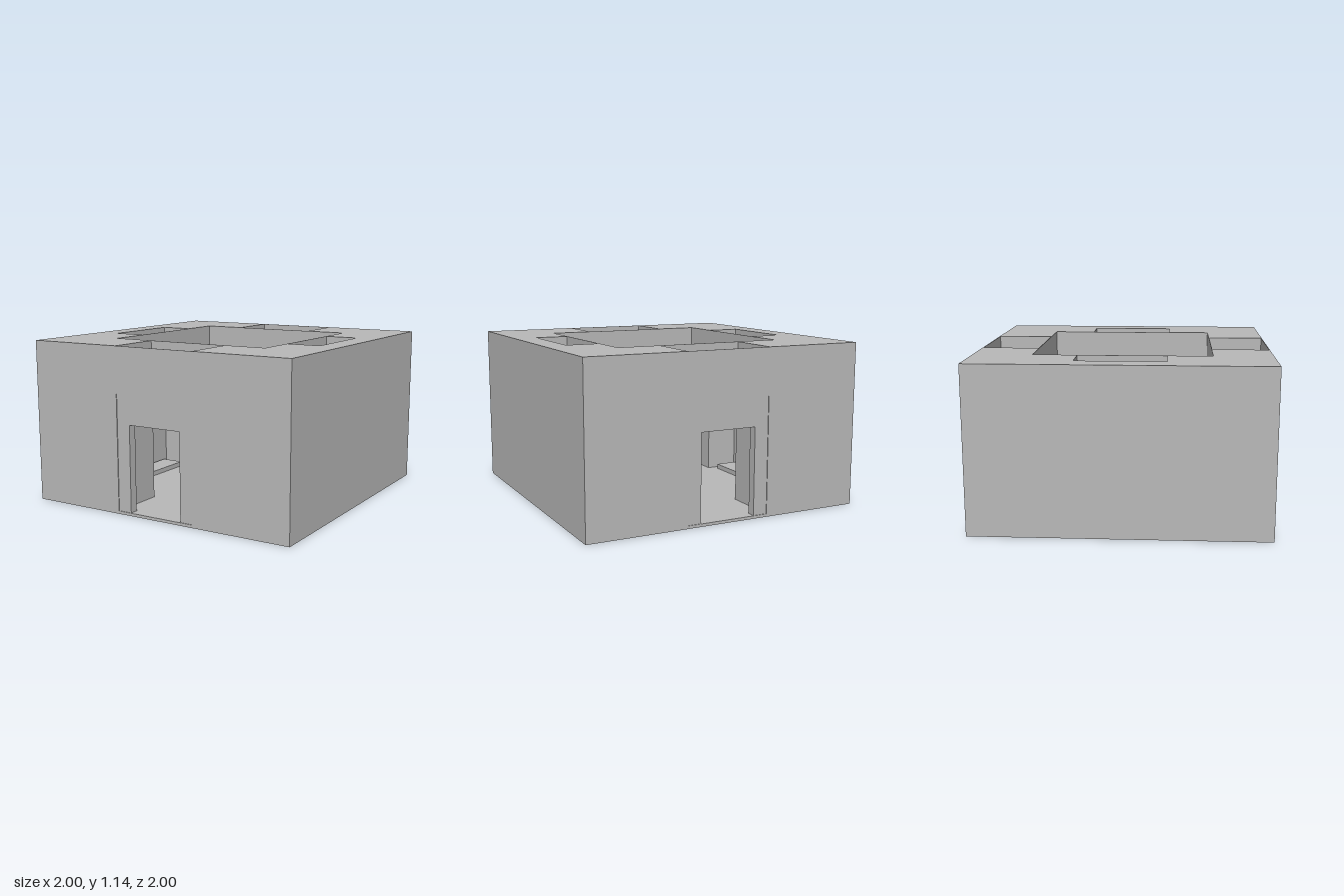
import * as THREE from 'three';

const stone = new THREE.MeshStandardMaterial({ color: 0xb8b8b8 });
stone.name = 'grey stone';

const FLOOR = 0.02, NICHE = 0.6, PASSAGE = 0.82, CEILING = 0.94, TOP = 1.14;

function add(parent, name, geometry, x = 0, y = 0, z = 0) {
  const mesh = new THREE.Mesh(geometry, stone);
  mesh.name = name;
  mesh.position.set(x, y, z);
  parent.add(mesh);
  return mesh;
}

function outline(points, holes = []) {
  const toVectors = (list) => list.map(([x, y]) => new THREE.Vector2(x, y));
  const shape = new THREE.Shape(toVectors(points));
  shape.holes = holes.map((hole) => new THREE.Path(toVectors(hole)));
  return shape;
}

const rect = (x0, z0, x1, z1) => [[x0, z0], [x1, z0], [x1, z1], [x0, z1]];

// Raise a floor plan from y0 to y1
function raise(shape, y0, y1) {
  const g = new THREE.ExtrudeGeometry(shape, { depth: y1 - y0, bevelEnabled: false });
  return g.rotateX(-Math.PI / 2).translate(0, y0, 0);
}

// A rod between two points
function rod(parent, name, from, to, radius) {
  const a = new THREE.Vector3(...from), b = new THREE.Vector3(...to);
  const mesh = add(parent, name, new THREE.CylinderGeometry(radius, radius, a.distanceTo(b), 8));
  mesh.position.copy(a).add(b).multiplyScalar(0.5);
  mesh.quaternion.setFromUnitVectors(new THREE.Vector3(0, 1, 0), b.sub(a).normalize());
}

function buildRock(group) {
  add(group, 'floor', new THREE.BoxGeometry(2, FLOOR, 2), 0, FLOOR / 2, 0);

  const nicheSlot = rect(0.605, -0.3, 0.84, 0.3);
  const start = [[0.3, -1], [1, -1], [1, 1], [0.3, 1], [0.3, 0.6], [0.6, 0.6]];
  const end = [[0.6, -0.6], [0.3, -0.6]];
  const nicheEdge = [[0.6, 0.3], [0.84, 0.3], [0.84, -0.3], [0.6, -0.3]];

  // Two matching side halves, each with a sleeping niche
  for (const turn of [0, Math.PI]) {
    const side = new THREE.Group();
    side.name = turn ? 'rightHalf' : 'leftHalf';
    side.rotation.y = turn;
    group.add(side);
    add(side, 'lowerWall', raise(outline([...start, ...nicheEdge, ...end]), FLOOR, NICHE));
    add(side, 'upperWall', raise(outline([...start, ...end], [nicheSlot]), NICHE, PASSAGE));
    add(side, 'nicheCeiling', new THREE.BoxGeometry(0.24, 0.01, 0.6), 0.72, NICHE, 0);
    add(side, 'bed', new THREE.BoxGeometry(0.17, 0.035, 0.5), 0.74, FLOOR + 0.0175, 0);
  }

  // Top block, with a well over every chamber
  const wells = [
    rect(-0.6, -0.6, 0.6, 0.6),
    nicheSlot, rect(-0.84, -0.3, -0.605, 0.3),
    rect(-0.3, 0.605, 0.3, 0.995), rect(-0.3, -0.995, 0.3, -0.605),
  ];
  add(group, 'topBlock', raise(outline(rect(-1, -1, 1, 1), wells), PASSAGE, TOP));
  add(group, 'roomCeiling', new THREE.BoxGeometry(1.2, 0.01, 1.2), 0, CEILING - 0.005, 0);
}

function buildDoorways(group) {
  const frame = outline([
    [-0.3, FLOOR], [-0.2, FLOOR], [-0.2, 0.62], [0.2, 0.62],
    [0.2, FLOOR], [0.3, FLOOR], [0.3, PASSAGE], [-0.3, PASSAGE],
  ]);
  for (const turn of [0, Math.PI]) {
    const doorway = new THREE.Group();
    doorway.name = turn ? 'backDoorway' : 'frontDoorway';
    doorway.rotation.y = turn;
    group.add(doorway);
    const g = new THREE.ExtrudeGeometry(frame, { depth: 0.06, bevelEnabled: false });
    add(doorway, 'doorFrame', g, 0, 0, 0.935);
    add(doorway, 'passageCeiling', new THREE.BoxGeometry(0.6, 0.01, 0.395), 0, PASSAGE + 0.005, 0.7975);
  }
}

function buildCampfire(group) {
  const fire = new THREE.Group();
  fire.name = 'campfire';
  group.add(fire);
  // Ring of stones
  for (let i = 0; i < 9; i++) {
    const a = (i / 9) * Math.PI * 2;
    const s = add(fire, 'ringStone', new THREE.SphereGeometry(0.032, 8, 6),
      Math.cos(a) * 0.12, 0.032, Math.sin(a) * 0.12);
    s.scale.set(0.85, 0.95, 1.1);
    s.rotation.y = -a;
  }
  // Leaning logs
  for (let i = 0; i < 5; i++) {
    const a = (i / 5) * Math.PI * 2 + 0.4;
    const c = Math.cos(a), s = Math.sin(a);
    rod(fire, 'log', [-c * 0.02, 0.03, -s * 0.02], [c * 0.105, 0.095, s * 0.105], 0.014);
  }
  // Flames
  add(fire, 'flame', new THREE.ConeGeometry(0.042, 0.17, 8), 0, 0.105, 0);
  add(fire, 'smallFlame', new THREE.ConeGeometry(0.028, 0.11, 8), 0.03, 0.08, -0.02);
}

export function createModel() {
  const model = new THREE.Group();
  model.name = 'stoneChamber';
  buildRock(model);
  buildDoorways(model);
  buildCampfire(model);
  // Loose boulders on the room floor
  for (const [x, z] of [[0.53, -0.53], [-0.49, -0.41]]) {
    add(model, 'boulder', new THREE.SphereGeometry(0.05, 8, 6), x, 0.05, z);
  }
  return model;
}
